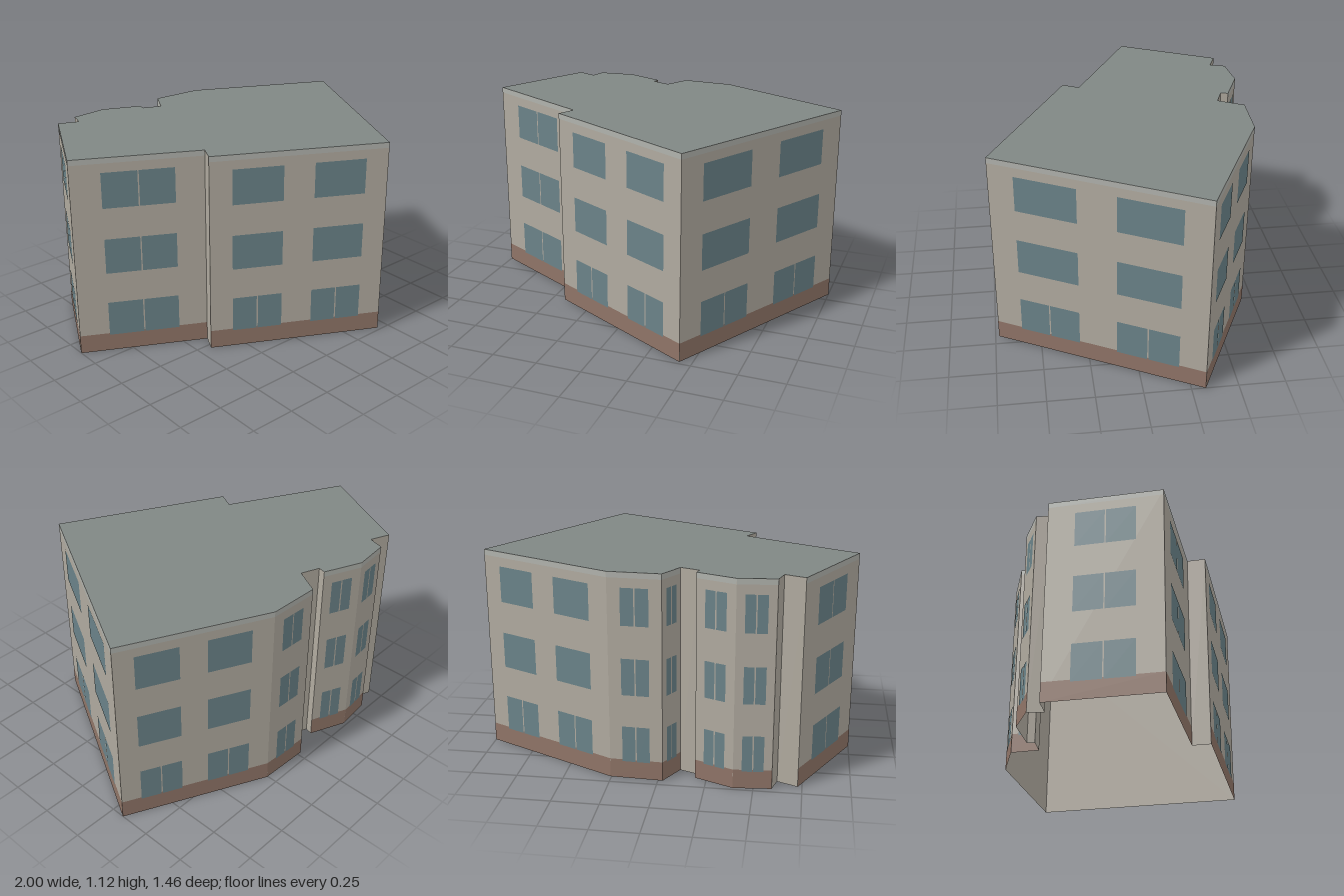
import * as THREE from 'three';

const HEIGHT = 1.12;
const PLINTH = 0.105;
const BAND = 0.03;
const FLOORS = [[0.095, 0.293], [0.468, 0.667], [0.842, 1.04]];
const GAP = 0.007;

const paint = (color) => new THREE.MeshStandardMaterial({ color, flatShading: true });
const thinPaint = (color) => new THREE.MeshStandardMaterial({ color, flatShading: true, side: THREE.DoubleSide });

// Footprint corners, going round from the left corner along the front.
// Each entry: x, z, then the facade that starts there (null = plain return wall):
// window spans as fractions of the wall, and whether every floor has split panes.
const CORNERS = [
  [-1.0, -0.137, { spans: [[0.23, 0.777]], split: true }],
  [-0.38, 0.19, null],
  [-0.427, 0.28, { spans: [[0.127, 0.41], [0.584, 0.873]], split: false }],
  [0.433, 0.73, { spans: [[0.123, 0.41], [0.588, 0.876]], split: false }],
  [1.0, -0.325, { spans: [[0.13, 0.405], [0.58, 0.86]], split: false }],
  [0.255, -0.69, { spans: [[0.24, 0.76]], split: true }],
  [-0.025, -0.702, { spans: [[0.23, 0.77]], split: true }],
  [-0.1, -0.565, null],
  [-0.2, -0.605, null],
  [-0.19, -0.645, { spans: [[0.23, 0.77]], split: true }],
  [-0.395, -0.733, { spans: [[0.22, 0.78]], split: true }],
  [-0.595, -0.715, null],
  [-0.62, -0.63, null],
  [-0.727, -0.675, { spans: [[0.24, 0.765]], split: true }],
];

export function createModel() {
  const model = new THREE.Group();
  model.name = 'apartmentBlock';

  const wallPaint = thinPaint(0xb0aa9f);
  const roofPaint = thinPaint(0x808784);
  const bandPaint = paint(0xb0b2ac);
  const plinthPaint = paint(0x8f7467);
  const glassPaint = paint(0x6a8288);

  // Flat roof on the footprint; the shell is open underneath
  const outline = new THREE.Shape(CORNERS.map(([x, z]) => new THREE.Vector2(x, -z)));
  const roof = new THREE.Mesh(new THREE.ShapeGeometry(outline), roofPaint);
  roof.name = 'roof';
  roof.rotation.x = -Math.PI / 2;
  roof.position.y = HEIGHT;
  model.add(roof);

  // One upright wall per footprint edge, with its plinth, band and windows
  CORNERS.forEach(([x, z, facade], i) => {
    const [nextX, nextZ] = CORNERS[(i + 1) % CORNERS.length];
    const dx = nextX - x, dz = nextZ - z;
    const length = Math.hypot(dx, dz);

    const group = new THREE.Group();
    group.name = facade ? 'facade' : 'returnWall';
    group.position.set(x, 0, z);
    group.rotation.y = Math.atan2(-dz, dx);
    model.add(group);

    const panel = (name, material, x0, x1, y0, y1, offset) => {
      const mesh = new THREE.Mesh(new THREE.PlaneGeometry(x1 - x0, y1 - y0), material);
      mesh.name = name;
      mesh.position.set((x0 + x1) / 2, (y0 + y1) / 2, offset);
      group.add(mesh);
    };

    panel('wall', wallPaint, 0, length, 0, HEIGHT, 0);
    if (!facade) return;

    panel('topBand', bandPaint, 0, length, HEIGHT - BAND, HEIGHT, 0.0007);
    panel('plinth', plinthPaint, 0, length, 0, PLINTH, 0.0007);

    // Windows: two panes on the ground floor and on narrow facades
    FLOORS.forEach(([y0, y1], floor) => {
      for (const [a, b] of facade.spans) {
        const x0 = a * length, x1 = b * length, mid = (x0 + x1) / 2;
        if (facade.split || floor === 0) {
          panel('windowPane', glassPaint, x0, mid - GAP / 2, y0, y1, 0.0014);
          panel('windowPane', glassPaint, mid + GAP / 2, x1, y0, y1, 0.0014);
        } else {
          panel('window', glassPaint, x0, x1, y0, y1, 0.0014);
        }
      }
    });
  });

  return model;
}
